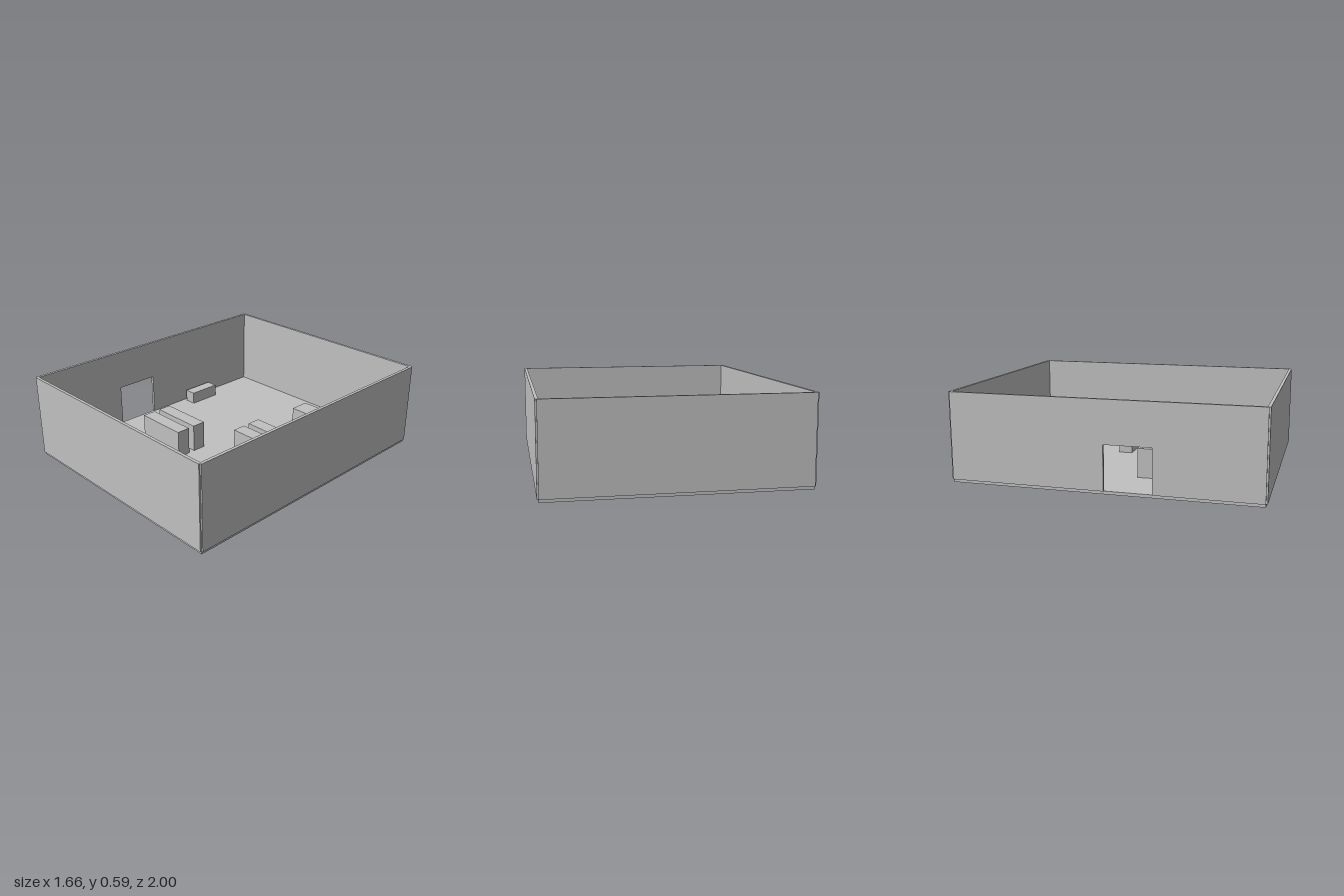
import * as THREE from 'three';

export function createModel() {
  const model = new THREE.Group();
  model.name = 'openRoom';
  const grey = new THREE.MeshStandardMaterial({ color: 0xc0c0c0 });
  grey.name = 'plainGrey';

  const FLOOR = 0.02, TOP = 0.587, HALF_X = 0.82, HALF_Z = 0.99, WALL = 0.02;

  const add = (name, geometry) => {
    const mesh = new THREE.Mesh(geometry, grey);
    mesh.name = name;
    model.add(mesh);
    return mesh;
  };
  // box given by its limits on each axis
  const box = (name, x0, x1, y0, y1, z0, z1) =>
    add(name, new THREE.BoxGeometry(x1 - x0, y1 - y0, z1 - z0))
      .position.set((x0 + x1) / 2, (y0 + y1) / 2, (z0 + z1) / 2);

  // floor slab
  box('floor', -HALF_X, HALF_X, 0, FLOOR, -HALF_Z, HALF_Z);

  // walls centred on the slab edges, leaving a small notch at each corner
  const t = WALL / 2;
  box('frontWall', -HALF_X, HALF_X, FLOOR, TOP, HALF_Z - t, HALF_Z + t);
  box('backWall', -HALF_X, HALF_X, FLOOR, TOP, -HALF_Z - t, -HALF_Z + t);
  box('leftWall', HALF_X - t, HALF_X + t, FLOOR, TOP, -HALF_Z, HALF_Z);

  // right wall with a doorway, drawn in (z, y) and extruded towards -x
  const doorway = { near: 0.32, far: 0.015, top: 0.31 };
  const outline = new THREE.Shape([
    [-HALF_Z, FLOOR], [doorway.far, FLOOR], [doorway.far, doorway.top],
    [doorway.near, doorway.top], [doorway.near, FLOOR],
    [HALF_Z, FLOOR], [HALF_Z, TOP], [-HALF_Z, TOP],
  ].map(([z, y]) => new THREE.Vector2(z, y)));
  const doorWall = add('rightWallWithDoorway',
    new THREE.ExtrudeGeometry(outline, { depth: WALL, bevelEnabled: false }));
  doorWall.rotation.y = -Math.PI / 2;
  doorWall.position.x = -HALF_X + t;

  // two pairs of tall shelves
  for (const z of [-0.125, 0.018]) box('leftShelf', 0.137, 0.515, FLOOR, 0.213, z - 0.048, z + 0.048);
  for (const z of [0.181, 0.322]) box('rightShelf', -0.478, -0.1, FLOOR, 0.213, z - 0.048, z + 0.048);

  // low furniture along the walls
  box('backCounter', 0.073, 0.738, FLOOR, 0.132, -0.765, -0.622);
  box('rightCabinet', -0.785, -0.7, FLOOR, 0.108, -0.538, -0.3);
  box('leftBench', 0.735, 0.789, FLOOR, 0.08, -0.495, 0.023);

  // round-ended table
  const r = 0.048, reach = 0.107;
  const oval = new THREE.Shape();
  oval.absarc(0, reach, r, 0, Math.PI, false);
  oval.absarc(0, -reach, r, Math.PI, Math.PI * 2, false);
  oval.closePath();
  const table = add('roundEndedTable',
    new THREE.ExtrudeGeometry(oval, { depth: 0.1, bevelEnabled: false, curveSegments: 16 }));
  table.rotation.x = -Math.PI / 2;
  table.position.set(-0.693, FLOOR, 0.71);

  return model;
}
